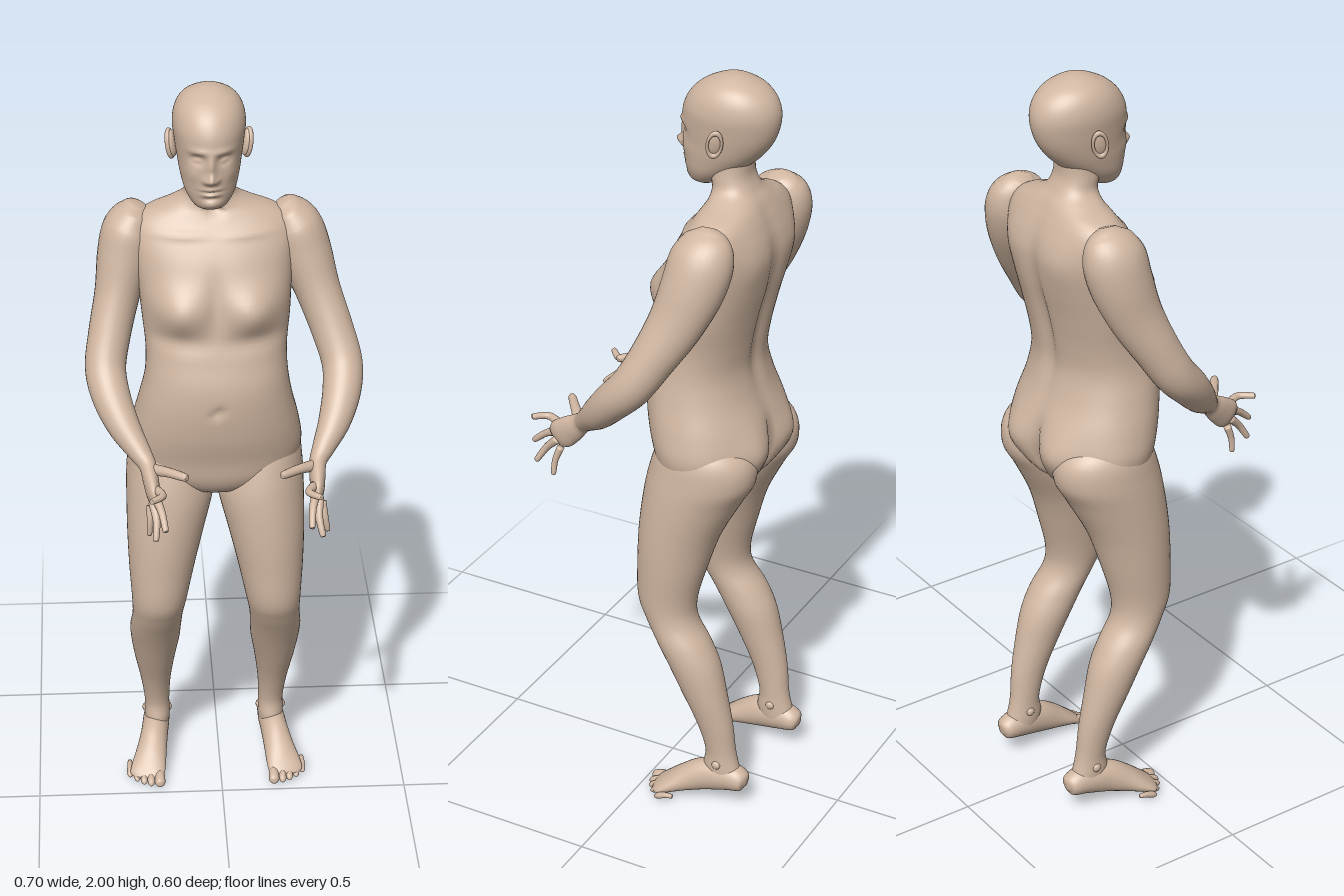
import * as THREE from 'three';

const skin = new THREE.MeshStandardMaterial({ color: 0xd0b6a1 });
const V = (x, y, z) => new THREE.Vector3(x, y, z);
const X = V(1, 0, 0), Y = V(0, 1, 0), Z = V(0, 0, 1);

// Smooth skin over elliptical cross-sections [x, y, z, radiusU, radiusV].
// flat keeps every ring horizontal; power < 1 makes rings boxier.
function loft(rows, { ref = Z, flat = false, seg = 32, steps = 6, power = 1 } = {}) {
  const path = new THREE.CatmullRomCurve3(rows.map(r => V(r[0], r[1], r[2])), false, 'catmullrom', 0.5);
  const size = new THREE.CatmullRomCurve3(rows.map(r => V(r[3], r[4], 0)), false, 'catmullrom', 0.5);
  const n = (rows.length - 1) * steps, pos = [], idx = [];
  const bend = v => Math.sign(v) * Math.abs(v) ** power;
  for (let i = 0; i <= n; i++) {
    const c = path.getPoint(i / n), s = size.getPoint(i / n);
    const t = flat ? V(0, Math.sign(rows.at(-1)[1] - rows[0][1]), 0) : path.getTangent(i / n);
    const u = t.clone().cross(ref).normalize(), v = u.clone().cross(t);
    for (let j = 0; j < seg; j++) {
      const a = j / seg * Math.PI * 2;
      const p = c.clone().addScaledVector(u, bend(Math.cos(a)) * Math.max(s.x, 0.001))
        .addScaledVector(v, bend(Math.sin(a)) * Math.max(s.y, 0.001));
      pos.push(p.x, p.y, p.z);
      if (i === n) continue;
      const k = (j + 1) % seg, q = i * seg, w = q + seg;
      idx.push(q + j, w + j, q + k, q + k, w + j, w + k);
    }
  }
  // End caps
  const m = pos.length / 3;
  for (const r of [rows[0], rows.at(-1)]) pos.push(r[0], r[1], r[2]);
  for (let j = 0; j < seg; j++) {
    const k = (j + 1) % seg;
    idx.push(m, j, k, m + 1, n * seg + k, n * seg + j);
  }
  const g = new THREE.BufferGeometry();
  g.setAttribute('position', new THREE.Float32BufferAttribute(pos, 3));
  g.setIndex(idx);
  g.computeVertexNormals();
  return g;
}

// Soft mirrored bumps [x, y, spreadX, spreadY, dz] on one side (1 front, -1 back)
function sculpt(g, cx, zMid, side, bumps) {
  const p = g.attributes.position;
  for (let i = 0; i < p.count; i++) {
    if ((p.getZ(i) - zMid) * side <= 0) continue;
    const x = Math.abs(p.getX(i) - cx), y = p.getY(i);
    let dz = 0;
    for (const [bx, by, sx, sy, d] of bumps) dz += d * Math.exp(-(((x - bx) / sx) ** 2) - ((y - by) / sy) ** 2);
    p.setZ(i, p.getZ(i) + dz);
  }
  g.computeVertexNormals();
  return g;
}

// Rows [y, x, halfWidth, zFront, zBack] to cross-sections
const slices = (rows, s = 1, off = 0) =>
  rows.map(([y, x, a, f, b]) => [s * x + off, y, (f + b) / 2, a, (f - b) / 2]);

export function createModel() {
  const model = new THREE.Group();
  const add = (name, geo, parent = model) => {
    const m = new THREE.Mesh(geo, skin);
    m.name = name;
    parent.add(m);
    return m;
  };

  // Torso and neck
  const torso = loft(slices([
    [0.905, -0.012, 0.06, -0.07, -0.2], [0.93, -0.012, 0.13, -0.025, -0.24], [0.97, -0.012, 0.2, 0, -0.265],
    [1.03, -0.012, 0.224, 0.012, -0.28], [1.1, -0.012, 0.216, 0.03, -0.27], [1.18, -0.012, 0.197, 0.04, -0.243],
    [1.25, -0.01, 0.183, 0.038, -0.23], [1.32, -0.01, 0.18, 0.02, -0.238], [1.4, -0.01, 0.188, 0.002, -0.255],
    [1.48, -0.012, 0.195, -0.008, -0.275], [1.55, -0.015, 0.203, -0.03, -0.283], [1.6, -0.016, 0.207, -0.055, -0.277],
    [1.64, -0.017, 0.2, -0.082, -0.263], [1.668, -0.018, 0.165, -0.1, -0.25], [1.69, -0.02, 0.11, -0.11, -0.238],
    [1.715, -0.022, 0.07, -0.11, -0.22], [1.75, -0.024, 0.061, -0.1, -0.205], [1.8, -0.025, 0.058, -0.09, -0.205],
  ]), { flat: true, seg: 88, steps: 6, power: 0.9 });
  sculpt(torso, -0.012, -0.11, 1, [
    [0.095, 1.45, 0.065, 0.055, 0.035], [0, 1.47, 0.022, 0.07, -0.01], [0.09, 1.37, 0.08, 0.025, -0.01],
    [0, 1.19, 0.012, 0.012, -0.012], [0.08, 1.63, 0.07, 0.01, 0.006], [0, 1.685, 0.018, 0.018, -0.012],
  ]);
  sculpt(torso, -0.012, -0.12, -1, [
    [0.09, 1.03, 0.06, 0.07, -0.022], [0, 1.0, 0.018, 0.08, 0.03], [0, 1.4, 0.025, 0.2, 0.016],
    [0.1, 1.56, 0.05, 0.06, -0.007],
  ]);
  add('torso', torso);

  // Head with sculpted face
  const head = new THREE.Group();
  head.name = 'head';
  model.add(head);
  const skull = loft(slices([
    [1.708, 0, 0.022, -0.06, -0.1], [1.72, 0, 0.042, -0.04, -0.125], [1.75, 0, 0.062, -0.03, -0.17],
    [1.79, 0, 0.074, -0.024, -0.22], [1.83, 0, 0.081, -0.022, -0.253], [1.87, 0, 0.087, -0.02, -0.27],
    [1.91, 0, 0.091, -0.025, -0.274], [1.945, 0, 0.085, -0.043, -0.262], [1.972, 0, 0.069, -0.072, -0.236],
    [1.99, 0, 0.043, -0.107, -0.2], [1.998, 0, 0.02, -0.132, -0.174], [2, 0, 0.002, -0.15, -0.154],
  ], 1, -0.025), { flat: true, seg: 128, steps: 10 });
  sculpt(skull, -0.025, -0.08, 1, [
    [0, 1.835, 0.011, 0.028, 0.012], [0, 1.803, 0.011, 0.013, 0.022], [0.013, 1.798, 0.008, 0.008, 0.009],
    [0.033, 1.85, 0.017, 0.012, -0.015], [0.033, 1.848, 0.011, 0.006, 0.009], [0.03, 1.872, 0.025, 0.008, 0.005],
    [0.05, 1.81, 0.018, 0.02, 0.004], [0, 1.774, 0.022, 0.005, 0.006], [0, 1.7665, 0.025, 0.0025, -0.006],
    [0, 1.759, 0.018, 0.005, 0.007], [0, 1.747, 0.02, 0.006, -0.005], [0, 1.73, 0.022, 0.012, 0.006],
  ]);
  add('skull', skull, head);
  for (const s of [1, -1]) {
    const ear = new THREE.Group();
    ear.name = s > 0 ? 'leftEar' : 'rightEar';
    ear.position.set(-0.025 + s * 0.09, 1.85, -0.148);
    ear.rotation.set(-0.15, s * 0.4, -s * 0.12);
    head.add(ear);
    add('earShell', new THREE.SphereGeometry(1, 20, 14), ear).scale.set(0.009, 0.034, 0.019);
    const rim = add('earRim', new THREE.TorusGeometry(0.028, 0.006, 10, 28), ear);
    rim.rotation.y = Math.PI / 2;
    rim.scale.set(0.62, 1.15, 1);
    rim.position.x = s * 0.007;
  }

  for (const s of [1, -1]) {
    const side = s > 0 ? 'left' : 'right';

    // Leg from hip to heel
    const leg = new THREE.Group();
    leg.name = side + 'Leg';
    model.add(leg);
    const off = -0.013;
    add('thighAndCalf', loft(slices([
      [1.1, 0.12, 0.06, -0.07, -0.2], [1.04, 0.119, 0.1, -0.025, -0.275], [0.97, 0.118, 0.112, 0, -0.285],
      [0.9, 0.119, 0.114, 0.014, -0.248], [0.8, 0.132, 0.101, 0.022, -0.197], [0.7, 0.143, 0.087, 0.023, -0.165],
      [0.6, 0.151, 0.073, 0.019, -0.14], [0.54, 0.156, 0.067, -0.006, -0.145], [0.48, 0.161, 0.068, -0.04, -0.185],
      [0.42, 0.162, 0.065, -0.073, -0.215], [0.34, 0.163, 0.054, -0.113, -0.236], [0.25, 0.161, 0.041, -0.155, -0.255],
      [0.17, 0.158, 0.034, -0.18, -0.264], [0.12, 0.158, 0.035, -0.175, -0.276], [0.085, 0.158, 0.033, -0.18, -0.29],
    ], s, off), { flat: true, seg: 48 }), leg);

    // Foot, ankle bones and toes
    add('foot', loft([
      [0.158, 0.085, -0.3, 0.01, 0.012], [0.158, 0.087, -0.287, 0.03, 0.03], [0.16, 0.09, -0.24, 0.036, 0.042],
      [0.167, 0.079, -0.18, 0.037, 0.045], [0.176, 0.058, -0.13, 0.041, 0.036], [0.186, 0.036, -0.085, 0.047, 0.023],
      [0.192, 0.023, -0.058, 0.046, 0.014], [0.195, 0.018, -0.045, 0.03, 0.007],
    ].map(r => [s * r[0] + off, ...r.slice(1)]), { ref: Y }), leg);
    for (const d of [-1, 1]) {
      const bone = add('ankleBone', new THREE.SphereGeometry(0.014, 14, 10), leg);
      bone.position.set(s * (0.158 + d * 0.027) + off, 0.135, -0.225);
    }
    for (let i = 0; i < 5; i++) {
      const r = i ? 0.0105 - i * 0.0005 : 0.0145, x = 0.157 + i * 0.019 + (i ? 0.005 : 0), z = -0.02 - i * i * 0.003;
      add('toe', loft([
        [x, 0.027, z - 0.05, r * 0.7, r * 0.7], [x, 0.024, z - 0.03, r * 0.9, r * 0.9],
        [x, 0.016, z - 0.01, r, r], [x, 0.012, z - 0.001, r * 0.7, r * 0.6], [x, 0.011, z + 0.003, 0.002, 0.002],
      ].map(p => [s * p[0] + off, ...p.slice(1)]), { ref: Y, seg: 14, steps: 4 }), leg);
    }

    // Arm and palm in one sweep, leaning slightly to the model's left as it descends
    const arm = new THREE.Group();
    arm.name = side + 'Arm';
    model.add(arm);
    const place = ([x, y, ...rest]) => [s * x + 0.02 - 0.07 * (y - 1.1), y, ...rest];
    add('armAndPalm', loft([
      [0.18, 1.675, -0.185, 0.02, 0.02], [0.19, 1.655, -0.186, 0.058, 0.042], [0.21, 1.61, -0.185, 0.08, 0.066],
      [0.228, 1.54, -0.172, 0.08, 0.069], [0.254, 1.45, -0.142, 0.069, 0.058], [0.282, 1.36, -0.097, 0.058, 0.054],
      [0.3, 1.285, -0.052, 0.053, 0.052], [0.292, 1.23, 0, 0.049, 0.049], [0.266, 1.172, 0.055, 0.042, 0.041],
      [0.232, 1.125, 0.105, 0.03, 0.029], [0.214, 1.1, 0.133, 0.027, 0.022], [0.209, 1.075, 0.163, 0.035, 0.02],
      [0.205, 1.05, 0.195, 0.039, 0.017], [0.203, 1.036, 0.213, 0.03, 0.01],
    ].map(place), { ref: X }), arm);

    // Fingers: knuckle, middle joint, tip
    const fingers = {
      thumb: [[0.205, 1.095, 0.145], [0.165, 1.105, 0.18], [0.122, 1.108, 0.215]],
      indexFinger: [[0.197, 1.07, 0.205], [0.182, 1.075, 0.247], [0.208, 1.078, 0.278]],
      middleFinger: [[0.2, 1.05, 0.21], [0.188, 1.03, 0.25], [0.182, 1.0, 0.287]],
      ringFinger: [[0.208, 1.034, 0.205], [0.203, 1.0, 0.24], [0.208, 0.962, 0.265]],
      littleFinger: [[0.216, 1.018, 0.192], [0.22, 0.98, 0.205], [0.224, 0.945, 0.207]],
    };
    for (const [name, [a, b, c]] of Object.entries(fingers)) {
      const r = name === 'thumb' ? 0.0125 : name === 'littleFinger' ? 0.008 : 0.0095;
      const tip = c.map((v, i) => v + (c[i] - b[i]) * 0.1);
      add(name, loft([[...a, r * 1.25, r * 1.25], [...b, r, r], [...c, r * 0.8, r * 0.8], [...tip, 0.002, 0.002]].map(place),
        { ref: name === 'thumb' ? Y : X, seg: 14 }), arm);
    }
  }
  return model;
}
